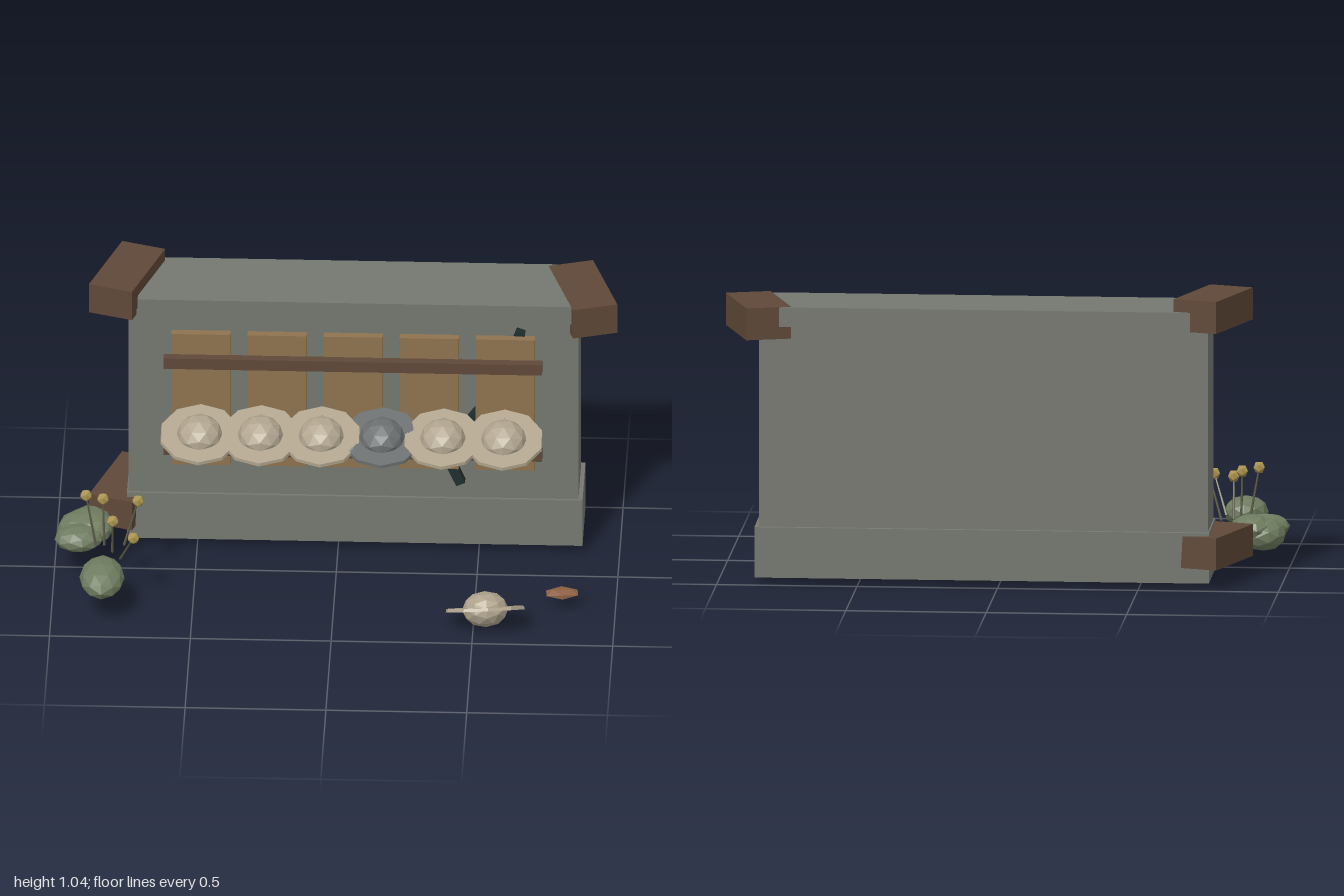
import * as THREE from 'three';

const paint = (name, color) => {
  const m = new THREE.MeshStandardMaterial({ color, flatShading: true });
  m.name = name;
  return m;
};

export function createModel() {
  const stone = paint('stone grey', 0x757770);
  const plankWood = paint('plank wood', 0x8f7350);
  const darkWood = paint('dark wood', 0x5f4838);
  const straw = paint('straw', 0xb0a48e);
  const felt = paint('grey felt', 0x6b6f6f);
  const leaf = paint('leaf green', 0x6f7c60);
  const stemOlive = paint('stem olive', 0x5c5c48);
  const bloom = paint('bloom yellow', 0xaa9350);
  const crackDark = paint('crack dark', 0x1e2e2e);
  const rust = paint('rust brown', 0x8d6244);

  const model = new THREE.Group();
  model.name = 'wallWithHats';

  const add = (name, geo, mat, pos = [0, 0, 0], rot = [0, 0, 0], parent = model) => {
    const mesh = new THREE.Mesh(geo, mat);
    mesh.name = name;
    mesh.position.set(...pos);
    mesh.rotation.set(...rot);
    parent.add(mesh);
    return mesh;
  };
  // Box given by its extents on each axis
  const span = (name, mat, [x0, x1], [y0, y1], [z0, z1]) =>
    add(name, new THREE.BoxGeometry(x1 - x0, y1 - y0, z1 - z0), mat,
      [(x0 + x1) / 2, (y0 + y1) / 2, (z0 + z1) / 2]);
  const blob = (name, mat, pos, radii, rot, detail = 1) =>
    add(name, new THREE.IcosahedronGeometry(1, detail), mat, pos, rot).scale.set(...radii);

  // Wall: body, footing and coping
  span('wallBody', stone, [-0.745, 0.853], [0.1, 0.95], [-0.45, -0.188]);
  span('wallCoping', stone, [-0.712, 0.83], [0.93, 1.0], [-0.48, -0.172]);
  const footing = span('wallFooting', stone, [-0.75, 0.868], [0.025, 0.207], [-0.463, -0.175]);
  footing.rotation.x = -0.02;

  // Skewed timber blocks at the corners
  const block = new THREE.BoxGeometry(0.163, 0.115, 0.333);
  add('cornerBlockTopRight', block, darkWood, [-0.755, 0.988, -0.328], [0, -0.325, 0]);
  add('cornerBlockBottomRight', block, darkWood, [-0.755, 0.135, -0.322], [0, -0.325, 0]);
  add('cornerBlockTopLeft', block, darkWood, [0.864, 0.943, -0.332], [0, 0.3, 0]);

  // Board panel with two rails
  for (let i = 0; i < 5; i++) {
    const x = -0.485 + i * 0.27;
    span('plank', plankWood, [x - 0.105, x + 0.105], [0.357, 0.887], [-0.158, -0.127]);
  }
  for (const y of [0.784, 0.433]) {
    span('rail', darkWood, [-0.617, 0.727], [y - 0.021, y + 0.021], [-0.128, -0.094]);
  }

  // Zigzag crack running behind the boards
  const crack = [[0.65, 0.9], [0.56, 0.65], [0.38, 0.41], [0.36, 0.45], [0.436, 0.28]];
  const crackWidths = [0.032, 0.036, 0.03, 0.034];
  crackWidths.forEach((w, i) => {
    const [ax, ay] = crack[i], [bx, by] = crack[i + 1];
    const len = Math.hypot(bx - ax, by - ay);
    add('crackSegment', new THREE.BoxGeometry(w, len, 0.036), crackDark,
      [(ax + bx) / 2, (ay + by) / 2, -0.171], [0, 0, Math.atan2(ax - bx, by - ay)]);
  });

  // Brimmed hats
  const makeHat = (name, mat, pos, rot) => {
    const hat = new THREE.Group();
    hat.name = name;
    hat.position.set(...pos);
    hat.rotation.set(...rot);
    const crown = add('crown', new THREE.IcosahedronGeometry(1, 1), mat, [0, 0, 0], [0, 0, 0], hat);
    crown.scale.set(0.083, 0.064, 0.083);
    add('brim', new THREE.CylinderGeometry(0.142, 0.145, 0.012, 10), mat, [0, 0, 0], [0, 0, 0], hat);
    model.add(hat);
  };
  const peg = new THREE.CylinderGeometry(0.016, 0.02, 0.085, 6);
  for (let i = 0; i < 6; i++) {
    const x = -0.484 + i * 0.216;
    makeHat('hangingHat', i === 3 ? felt : straw, [x, 0.577, 0.045], [0.306, 0, 0]);
    add('peg', peg, darkWood, [x, 0.595, -0.06], [Math.PI / 2, 0, 0]);
  }
  makeHat('fallenHat', straw, [0.543, 0.076, 0.381], [-0.5, 0.1, 0.06]);

  // Fallen leaf
  blob('fallenLeaf', rust, [0.81, 0.054, 0.215], [0.066, 0.016, 0.04], [0, 0.1, 0], 0);

  // Bushes
  blob('bush', leaf, [-0.82, 0.147, 0.327], [0.08, 0.057, 0.113], [0.08, 0, 0]);
  blob('bush', leaf, [-0.87, 0.152, -0.045], [0.078, 0.05, 0.103], [0.05, 0.25, 0]);
  blob('bush', leaf, [-0.912, 0.132, -0.05], [0.08, 0.06, 0.09], [0, -0.2, 0]);
  blob('bush', leaf, [-0.912, 0.145, 0.04], [0.088, 0.045, 0.073], [0, 0.2, 0]);

  // Flowers: [head], [stem base]
  const flowers = [
    [[-0.885, 0.347, 0.092], [-0.85, 0.15, 0.1]],
    [[-0.825, 0.333, 0.09], [-0.82, 0.15, 0.1]],
    [[-0.787, 0.298, 0.188], [-0.79, 0.15, 0.147]],
    [[-0.71, 0.288, 0.29], [-0.76, 0.153, 0.2]],
    [[-0.7, 0.337, 0.107], [-0.75, 0.153, 0.1]],
  ];
  const up = new THREE.Vector3(0, 1, 0);
  for (const [head, base] of flowers) {
    const a = new THREE.Vector3(...base), b = new THREE.Vector3(...head);
    const dir = b.clone().sub(a);
    const stem = add('flowerStem', new THREE.CylinderGeometry(0.003, 0.005, dir.length(), 5), stemOlive,
      a.add(b).multiplyScalar(0.5).toArray());
    stem.quaternion.setFromUnitVectors(up, dir.normalize());
    add('flowerHead', new THREE.IcosahedronGeometry(0.023, 0), bloom, head);
  }
  return model;
}
